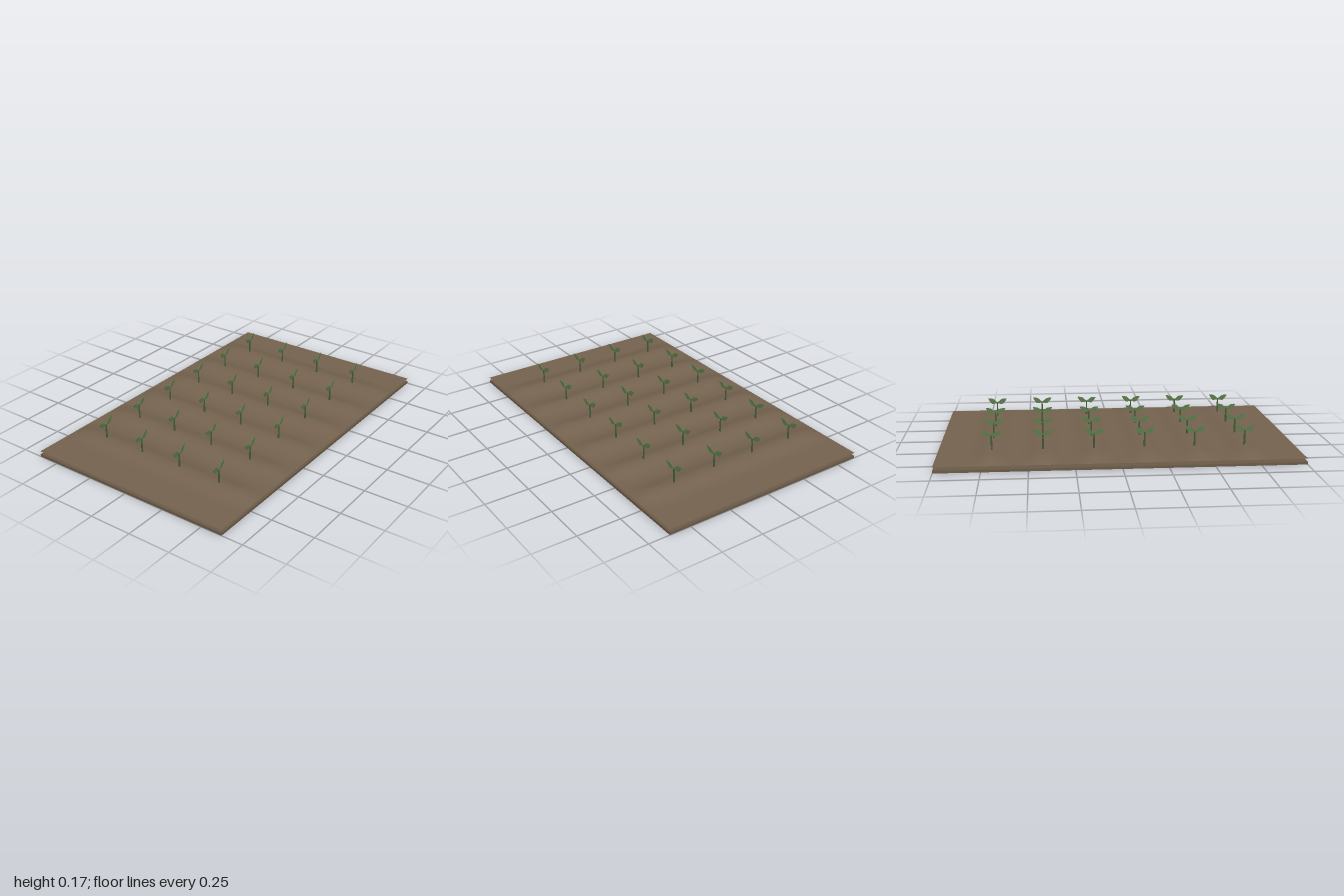
import * as THREE from 'three';

const WIDTH = 2, DEPTH = 1.25;
const ROW_SPACING = 0.28, PLANT_SPACING = 0.2625;
const SOIL_Y = 0.033, RIDGE_HEIGHT = 0.025;

const mat = (color, side = THREE.FrontSide) => new THREE.MeshStandardMaterial({ color, side });

const rowX = Array.from({ length: 6 }, (_, i) => (i - 2.5) * ROW_SPACING);

function mesh(name, geometry, material) {
  const m = new THREE.Mesh(geometry, material);
  m.name = name;
  return m;
}

// Height of the tilled soil: rounded ridges that ramp down at both ends
function soilHeight(x, z) {
  const d = Math.min(...rowX.map((r) => Math.abs(x - r)));
  const ridge = d < 0.14 ? Math.pow(0.5 + 0.5 * Math.cos((Math.PI * d) / 0.14), 1.3) : 0;
  const ramp = THREE.MathUtils.clamp((DEPTH / 2 - Math.abs(z)) / 0.083, 0, 1);
  return SOIL_Y + RIDGE_HEIGHT * ridge * ramp;
}

function soilSheet() {
  const g = new THREE.PlaneGeometry(WIDTH, DEPTH, 100, 15).rotateX(-Math.PI / 2);
  const p = g.attributes.position;
  for (let i = 0; i < p.count; i++) p.setY(i, soilHeight(p.getX(i), p.getZ(i)));
  g.computeVertexNormals();
  return g;
}

// Upright pointed leaf, growing from the stem top toward +x
function leafGeometry() {
  const s = new THREE.Shape();
  s.moveTo(0, 0);
  s.quadraticCurveTo(0.02, -0.004, 0.032, -0.003);
  s.quadraticCurveTo(0.046, 0.008, 0.057, 0.033);
  s.quadraticCurveTo(0.036, 0.034, 0.02, 0.025);
  s.quadraticCurveTo(0.012, 0.014, 0, 0.006);
  return new THREE.ExtrudeGeometry(s, { depth: 0.003, bevelEnabled: false, curveSegments: 4 })
    .translate(0, 0, -0.0015);
}

export function createModel() {
  const model = new THREE.Group();
  model.name = 'seedlingField';

  // Ground slab with the ridged soil above it
  const slab = mesh('groundSlab', new THREE.BoxGeometry(WIDTH, 0.015, DEPTH), mat(0x6b5a47));
  slab.position.y = 0.0075;
  model.add(slab, mesh('ridgedSoil', soilSheet(), mat(0x74624e, THREE.DoubleSide)));

  // Seedlings: a thin stem with two opposite leaves
  const stemGeo = new THREE.CylinderGeometry(0.004, 0.006, 0.09, 6).translate(0, 0.095, 0);
  const leafGeo = leafGeometry();
  const stemMat = mat(0x3f5c38), leafMat = mat(0x5a7a48);

  for (const x of rowX) {
    for (let j = 0; j < 4; j++) {
      const plant = new THREE.Group();
      plant.name = 'seedling';
      plant.add(mesh('stem', stemGeo, stemMat));
      for (const side of [1, -1]) {
        const leaf = mesh(side > 0 ? 'leftLeaf' : 'rightLeaf', leafGeo, leafMat);
        leaf.position.y = 0.137;
        if (side < 0) {
          leaf.rotation.set(0, Math.PI, 0.1, 'YXZ');
          leaf.rotation.z = -0.1;
        }
        plant.add(leaf);
      }
      plant.position.set(x, 0, (j - 1.5) * PLANT_SPACING - 0.007);
      plant.rotation.y = 0.12;
      model.add(plant);
    }
  }
  return model;
}
